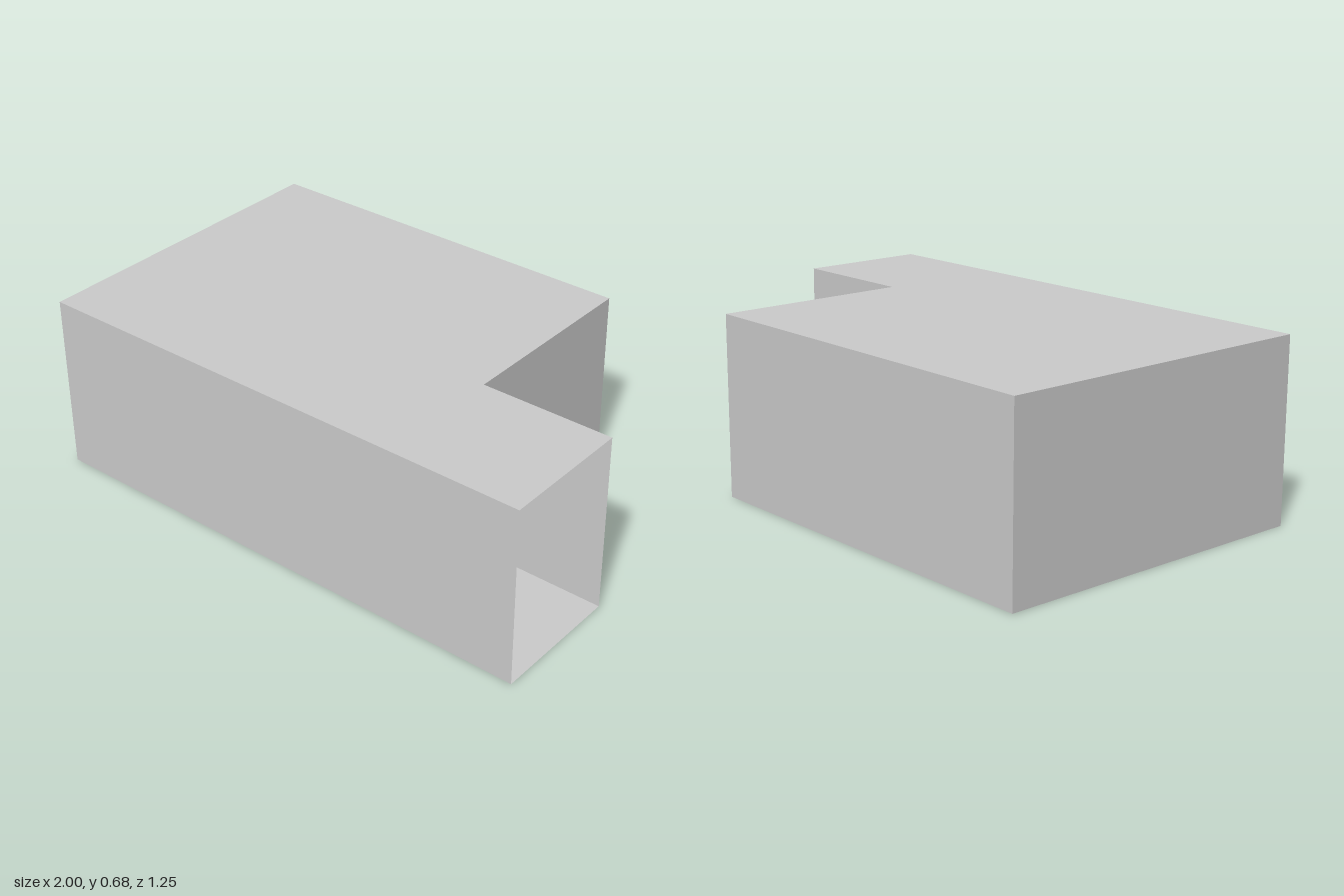
import * as THREE from 'three';

const H = 0.675;
// L-shaped plan as [x, z]; the side from the first to the last point is the open end
const PLAN = [[1, 0.625], [-1, 0.625], [-1, -0.625], [0.5, -0.625], [0.5, 0.125], [1, 0.125]];

export function createModel() {
  const group = new THREE.Group();
  const material = new THREE.MeshStandardMaterial({ color: 0xcccccc, side: THREE.DoubleSide });

  const add = (name, geometry) => {
    const mesh = new THREE.Mesh(geometry, material);
    mesh.name = name;
    group.add(mesh);
    return mesh;
  };

  // upright sheet between two plan points
  const wall = (name, [x0, z0], [x1, z1], y0 = 0, y1 = H) => {
    const mesh = add(name, new THREE.PlaneGeometry(Math.hypot(x1 - x0, z1 - z0), y1 - y0));
    mesh.position.set((x0 + x1) / 2, (y0 + y1) / 2, (z0 + z1) / 2);
    mesh.rotation.y = Math.atan2(z0 - z1, x1 - x0);
  };

  // floor and roof
  const plan = new THREE.Shape(PLAN.map(([x, z]) => new THREE.Vector2(x, -z)));
  for (const [name, y] of [['floor', 0], ['roof', H]]) {
    add(name, new THREE.ShapeGeometry(plan).rotateX(-Math.PI / 2)).position.y = y;
  }

  // outer walls, leaving the end of the passage open
  const names = ['frontWall', 'leftSideWall', 'backWall', 'innerCornerWall', 'passageWall'];
  names.forEach((name, i) => wall(name, PLAN[i], PLAN[i + 1]));

  // partition across the passage: a plain half and a slightly recessed door with a thin frame
  wall('partition', [0.5, 0.625], [0.5, 0.375]);
  wall('partitionReveal', [0.5, 0.375], [0.48, 0.375]);
  const rect = (Type, z0, z1, y0, y1) => new Type([[-z0, y0], [-z1, y0], [-z1, y1], [-z0, y1]]
    .map(([x, y]) => new THREE.Vector2(x, y)));
  const frame = rect(THREE.Shape, 0.375, 0.125, 0, H);
  frame.holes.push(rect(THREE.Path, 0.365, 0.137, 0.012, H - 0.01));
  add('doorFrame', new THREE.ShapeGeometry(frame).rotateY(Math.PI / 2)).position.x = 0.48;
  wall('doorPanel', [0.47, 0.365], [0.47, 0.137], 0.012, H - 0.01);

  return group;
}
